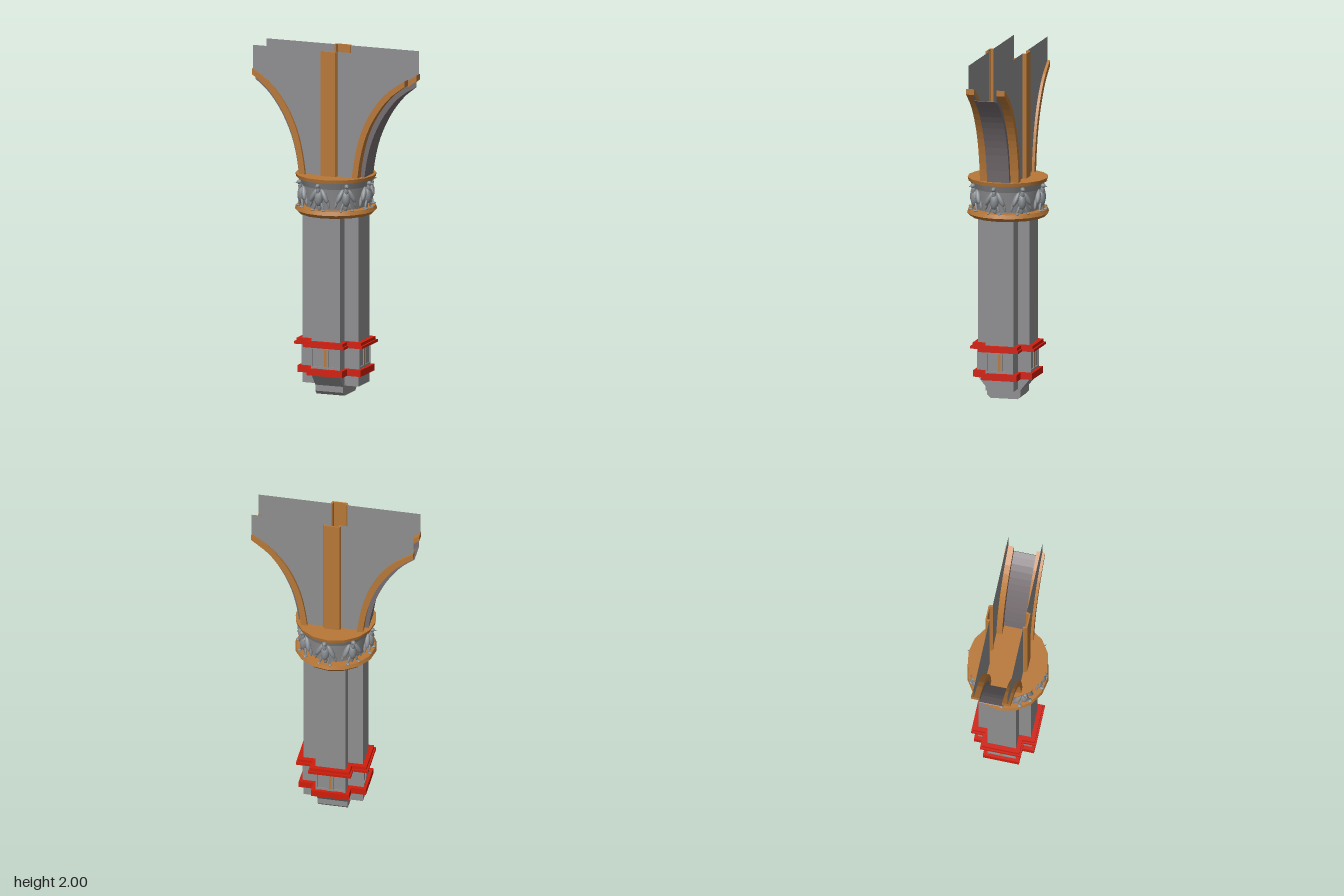
import * as THREE from 'three';

const make = (name, color, side = THREE.FrontSide) => {
  const m = new THREE.MeshStandardMaterial({ color, side });
  m.name = name;
  return m;
};

export function createModel() {
  const stone = make('stone grey', 0x8e8e90);
  const sheet = make('panel grey', 0x8e8e90, THREE.DoubleSide);
  const soffit = make('soffit grey', 0x756d70, THREE.DoubleSide);
  const bronze = make('bronze', 0xb87838);
  const red = make('red', 0xd01e0c);
  const carved = make('carved grey', 0x868a8e);

  const model = new THREE.Group();
  model.name = 'column';
  const add = (name, geo, mat, parent = model) => {
    const mesh = new THREE.Mesh(geo, mat);
    mesh.name = name;
    parent.add(mesh);
    return mesh;
  };
  const shapeOf = (pts) => new THREE.Shape(pts.map(([x, y]) => new THREE.Vector2(x, y)));
  const box = (name, w, h, d, x, y, z, mat) =>
    add(name, new THREE.BoxGeometry(w, h, d).translate(x, y, z), mat);

  // Upright prism from a plan outline
  const prism = (pts, y0, y1) =>
    new THREE.ExtrudeGeometry(shapeOf(pts), { depth: y1 - y0, bevelEnabled: false })
      .rotateX(-Math.PI / 2).translate(0, y0, 0);
  // Cross-shaped plan, grown outwards by e
  const cross = (e = 0) => {
    const X = 0.173 + e, Z = 0.153 + e, a = 0.088 + e, b = 0.083 + e;
    return [[X, -b], [X, b], [a, b], [a, Z], [-a, Z], [-a, b],
      [-X, b], [-X, -b], [-a, -b], [-a, -Z], [a, -Z], [a, -b]];
  };

  // Shaft
  add('shaft', prism(cross(), 0.12, 1.06), stone);
  box('sideFoot', 0.346, 0.06, 0.166, 0, 0.09, 0, stone);
  const foot = shapeOf([[-0.153, 0.12], [-0.1, 0.055], [-0.1, 0.02], [-0.08, 0],
    [0.08, 0], [0.1, 0.02], [0.1, 0.055], [0.153, 0.12]]);
  add('taperedFoot', new THREE.ExtrudeGeometry(foot, { depth: 0.172, bevelEnabled: false })
    .translate(0, 0, -0.086).rotateY(Math.PI / 2), stone);

  // Red bands
  add('lowerBand', prism(cross(0.022), 0.122, 0.16), red);
  add('upperBandLip', prism(cross(0.036), 0.287, 0.302), red);
  add('upperBand', prism(cross(0.026), 0.302, 0.32), red);

  // Framed panels between the bands, on all four faces
  for (let k = 0; k < 4; k++) {
    const g = new THREE.Group();
    g.name = 'panelFrame';
    g.rotation.y = k * Math.PI / 2;
    model.add(g);
    const z = k % 2 ? 0.174 : 0.155, w = k % 2 ? 0.077 : 0.082;
    for (const x of [-w, -0.012, 0.012, w])
      add('frameStile', new THREE.BoxGeometry(0.009, 0.127, 0.009).translate(x, 0.2235, z), stone, g);
    for (const y of [0.168, 0.28])
      add('frameRail', new THREE.BoxGeometry(w * 2, 0.012, 0.009).translate(0, y, z), stone, g);
    add('bronzeStrip', new THREE.BoxGeometry(0.015, 0.127, 0.006).translate(0, 0.2235, z), bronze, g);
  }

  // Capital: two bronze discs and a flared drum
  const disc = (name, r0, r1, y0, y1, mat) => add(name,
    new THREE.CylinderGeometry(r1, r0, y1 - y0, 16).translate(0, (y0 + y1) / 2, 0), mat);
  disc('lowerDiscUnderside', 0.215, 0.235, 1.05, 1.07, bronze);
  disc('lowerDisc', 0.235, 0.228, 1.07, 1.092, bronze);
  disc('drum', 0.18, 0.2, 1.09, 1.215, stone);
  disc('drumFlare', 0.2, 0.218, 1.215, 1.256, stone);
  disc('upperDisc', 0.226, 0.231, 1.255, 1.276, bronze);

  // Carved birds around the drum
  const ball = new THREE.SphereGeometry(1, 12, 8);
  const blob = (name, g, p, s, rx = 0, rz = 0) => {
    const m = add(name, ball, carved, g);
    m.position.set(...p);
    m.scale.set(...s);
    m.rotation.set(rx, 0, rz);
  };
  for (let k = 0; k < 8; k++) {
    const g = new THREE.Group();
    g.name = 'bird';
    g.rotation.y = k * Math.PI / 4 - 0.11;
    model.add(g);
    blob('body', g, [0, 1.165, 0.203], [0.025, 0.048, 0.026], -0.1);
    blob('neck', g, [0, 1.21, 0.212], [0.012, 0.027, 0.012]);
    blob('head', g, [0, 1.235, 0.216], [0.013, 0.014, 0.016]);
    blob('tail', g, [0, 1.118, 0.198], [0.013, 0.03, 0.009]);
    const beak = add('beak', new THREE.ConeGeometry(0.006, 0.02, 6).rotateX(Math.PI / 2), carved, g);
    beak.position.set(0, 1.233, 0.236);
    for (const s of [-1, 1]) {
      blob('wing', g, [s * 0.034, 1.178, 0.198], [0.015, 0.046, 0.017], -0.1, s * 0.5);
      blob('wingTip', g, [s * 0.052, 1.14, 0.19], [0.008, 0.036, 0.01], 0, s * 0.3);
      blob('leg', g, [s * 0.025, 1.115, 0.207], [0.007, 0.03, 0.007], 0, s * 0.35);
      blob('claw', g, [s * 0.034, 1.095, 0.214], [0.011, 0.006, 0.014]);
    }
  }

  // Curves of the arch: soffit, then lower and upper edge of the trim
  const curve = (pts) => new THREE.SplineCurve(pts.map(([x, y]) => new THREE.Vector2(x, y)))
    .getPoints(14).map((p) => [p.x, p.y]);
  const soffitEdge = curve([[0.203, 1.276], [0.215, 1.36], [0.242, 1.47], [0.283, 1.57],
    [0.335, 1.66], [0.4, 1.74], [0.47, 1.797]]);
  const trimLow = curve([[0.18, 1.276], [0.19, 1.36], [0.214, 1.47], [0.25, 1.57],
    [0.303, 1.665], [0.375, 1.757], [0.47, 1.832]]);
  const trimHigh = curve([[0.145, 1.276], [0.156, 1.36], [0.181, 1.48], [0.221, 1.59],
    [0.277, 1.69], [0.36, 1.788], [0.47, 1.865]]);
  const soffitBack = soffitEdge.map(([x, y]) => [x - 0.003, y + 0.002]);
  const between = (a, b, s) => shapeOf([...a, ...[...b].reverse()].map(([x, y]) => [s * x, y]));
  const slab = (shape, z0, z1) =>
    new THREE.ExtrudeGeometry(shape, { depth: z1 - z0, bevelEnabled: false }).translate(0, 0, z0);

  for (const s of [-1, 1]) {
    add('archSoffit', slab(between(soffitEdge, soffitBack, s), -0.066, 0.066), soffit);
    for (const f of [-1, 1]) {
      add('archCheek', new THREE.ShapeGeometry(between(soffitEdge, trimLow, s))
        .translate(0, 0, f * 0.066), soffit);
      add('archTrim', slab(between(trimLow, trimHigh, s),
        f > 0 ? 0.066 : -0.115, f > 0 ? 0.115 : -0.066), bronze);
      const plate = shapeOf([[0.042, 1.276], ...trimHigh, [0.47, 2], [0.042, 2]]
        .map(([x, y]) => [s * x, y]));
      add('spandrelPlate', new THREE.ShapeGeometry(plate).translate(0, 0, f * 0.099), sheet);
    }
  }

  // Channel-shaped pilasters, open towards the inside
  const channel = [[-0.05, -0.096], [-0.05, -0.106], [-0.044, -0.122], [0.044, -0.122],
    [0.05, -0.106], [0.05, -0.096], [0.04, -0.096], [0.036, -0.114], [-0.036, -0.114], [-0.04, -0.096]];
  for (const turn of [0, Math.PI])
    add('pilaster', prism(channel, 1.276, 2).rotateY(turn), bronze);

  return model;
}
